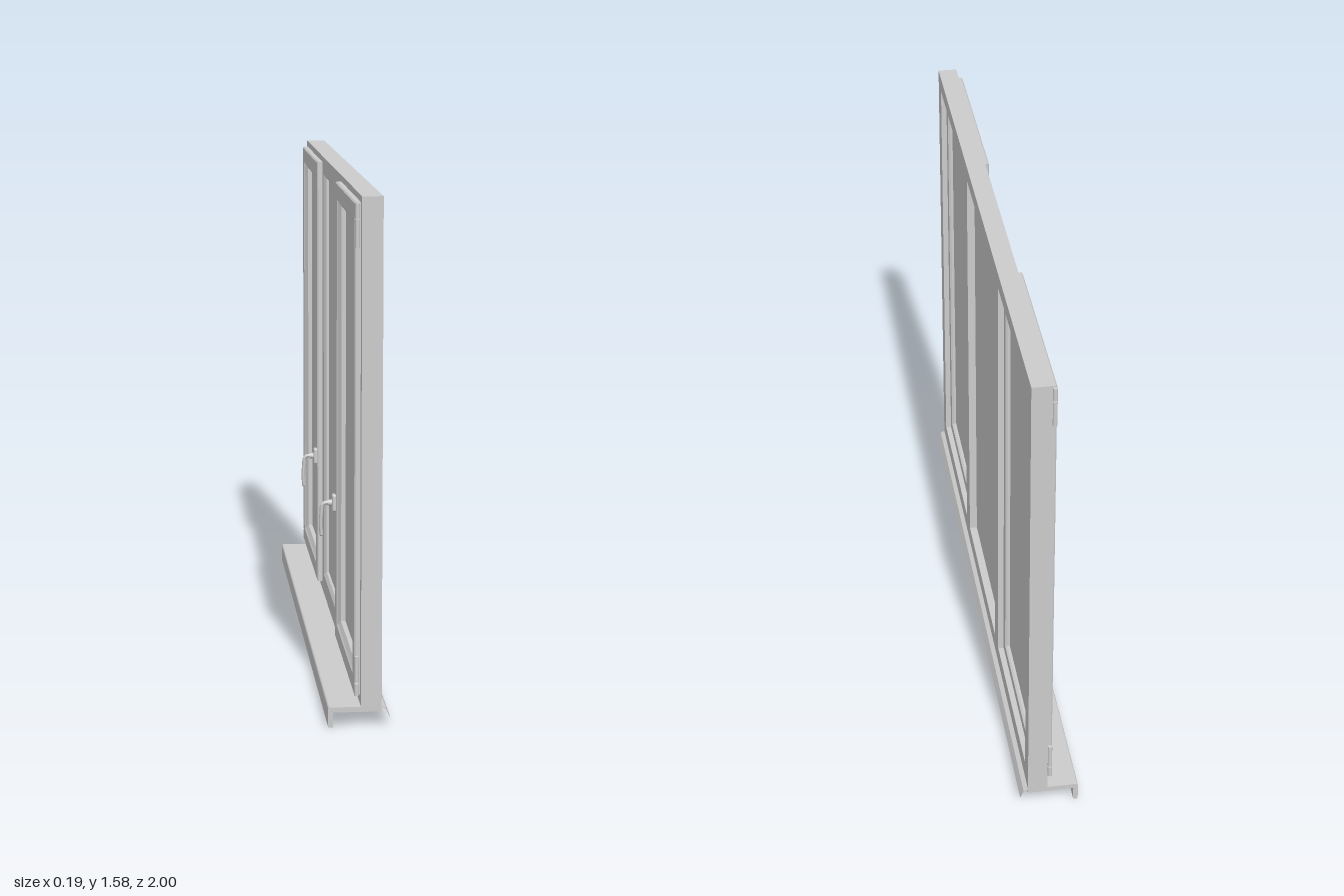
import * as THREE from 'three';
import { RoundedBoxGeometry } from 'three/addons/geometries/RoundedBoxGeometry.js';

const grey = new THREE.MeshStandardMaterial({ color: 0xcccccc, side: THREE.DoubleSide });

function add(parent, name, geometry, x = 0, y = 0, z = 0) {
  const mesh = new THREE.Mesh(geometry, grey);
  mesh.name = name;
  mesh.position.set(x, y, z);
  parent.add(mesh);
  return mesh;
}

// Rectangle in the z-y plane as a list of points
const rect = (z0, z1, y0, y1) =>
  [[z0, y0], [z1, y0], [z1, y1], [z0, y1]].map(([a, b]) => new THREE.Vector2(a, b));

// Mitred rectangular ring; profile points are [inset from outer edge, x]
function mitredRing(z0, z1, y0, y1, profile) {
  const corner = (j, [i, x]) => [
    x,
    j < 2 ? y0 + i : y1 - i,
    j === 0 || j === 3 ? z0 + i : z1 - i,
  ];
  const positions = [];
  for (let j = 0; j < 4; j++) {
    const n = (j + 1) % 4;
    profile.forEach((p, k) => {
      const q = profile[(k + 1) % profile.length];
      const a = corner(j, p), b = corner(n, p), c = corner(n, q), d = corner(j, q);
      positions.push(...a, ...b, ...c, ...a, ...c, ...d);
    });
  }
  const g = new THREE.BufferGeometry();
  g.setAttribute('position', new THREE.Float32BufferAttribute(positions, 3));
  g.computeVertexNormals();
  return g;
}

// Cross-section in x-y run along the full width
function runAlongZ(shape) {
  const g = new THREE.ExtrudeGeometry(shape, { depth: 2, bevelEnabled: false, curveSegments: 6 });
  return g.translate(0, 0, -1);
}

function makeHandle() {
  const handle = new THREE.Group();
  add(handle, 'handlePlate', new RoundedBoxGeometry(0.014, 0.054, 0.03, 3, 0.005), -0.02, 0.537, 0);
  const neck = new THREE.CylinderGeometry(0.009, 0.011, 0.016, 20).rotateZ(Math.PI / 2);
  add(handle, 'handleNeck', neck, -0.033, 0.537, 0);
  const path = new THREE.CatmullRomCurve3([
    [-0.03, 0.537], [-0.05, 0.537], [-0.058, 0.53], [-0.061, 0.505], [-0.063, 0.47], [-0.061, 0.434],
  ].map(([x, y]) => new THREE.Vector3(x, y, 0)));
  const lever = new THREE.TubeGeometry(path, 32, 0.006, 12).scale(1, 1, 1.5);
  add(handle, 'handleLever', lever);
  const tip = new THREE.SphereGeometry(0.006, 12, 8).scale(1, 1, 1.5);
  add(handle, 'handleTip', tip, -0.061, 0.434, 0);
  return handle;
}

export function createModel() {
  const model = new THREE.Group();
  model.name = 'window';

  // Fixed frame with three openings
  const shape = new THREE.Shape(rect(-1, 1, 0.06, 1.58));
  for (const [a, b] of [[-0.94, -0.375], [-0.3, 0.3], [0.375, 0.94]]) {
    shape.holes.push(new THREE.Path(rect(a, b, 0.12, 1.53)));
  }
  const frame = new THREE.ExtrudeGeometry(shape, { depth: 0.062, bevelEnabled: false });
  add(model, 'frame', frame.rotateY(Math.PI / 2), 0.003, 0, 0);

  // Fixed centre pane and its glazing bead
  add(model, 'centreGlass', new THREE.BoxGeometry(0.02, 1.41, 0.6), 0.03, 0.825, 0);
  add(model, 'centreBead', mitredRing(-0.3, 0.3, 0.12, 1.53,
    [[0, 0.02], [0, 0.003], [0.008, 0.003], [0.02, 0.012], [0.02, 0.02]]));

  // Opening sashes, mirrored about the centre
  const sashProfile = [
    [0, 0.003], [0, -0.011], [0.004, -0.015], [0.052, -0.015], [0.056, -0.011], [0.07, -0.002],
    [0.07, 0.04], [0.066, 0.047], [0.032, 0.047], [0.032, 0.003],
  ];
  for (const side of [-1, 1]) {
    const sash = new THREE.Group();
    sash.name = side > 0 ? 'leftSash' : 'rightSash';
    const [z0, z1] = side > 0 ? [0.345, 0.97] : [-0.97, -0.345];
    add(sash, 'sashFrame', mitredRing(z0, z1, 0.09, 1.56, sashProfile));
    add(sash, 'sashGlass', new THREE.BoxGeometry(0.02, 1.35, 0.505), 0.022, 0.825, side * 0.6575);

    const handle = makeHandle();
    handle.name = 'handle';
    handle.position.z = side * 0.362;
    sash.add(handle);

    // Two-part barrel hinges at top and bottom
    for (const [y, length] of [[0.108, 0.036], [0.17, 0.08], [1.47, 0.08], [1.535, 0.042]]) {
      add(sash, 'hinge', new THREE.CylinderGeometry(0.007, 0.007, length, 16), -0.008, y, side * 0.976);
    }
    model.add(sash);
  }

  // Inner sill board with rounded nose and turned-down lip
  const sill = new THREE.Shape();
  sill.moveTo(0.065, 0.062);
  sill.lineTo(-0.087, 0.062);
  sill.quadraticCurveTo(-0.095, 0.062, -0.095, 0.054);
  sill.lineTo(-0.095, 0.003);
  sill.quadraticCurveTo(-0.095, 0, -0.092, 0);
  sill.lineTo(-0.083, 0);
  sill.quadraticCurveTo(-0.08, 0, -0.08, 0.003);
  sill.lineTo(-0.08, 0.046);
  sill.lineTo(0.065, 0.046);
  add(model, 'sill', runAlongZ(sill));

  // Thin outer drip flashing
  const drip = new THREE.Shape([
    [0.063, 0.062], [0.063, 0.06], [0.077, 0.053], [0.088, 0.03], [0.09, 0.03], [0.079, 0.055],
  ].map(([x, y]) => new THREE.Vector2(x, y)));
  add(model, 'dripFlashing', runAlongZ(drip));

  return model;
}
